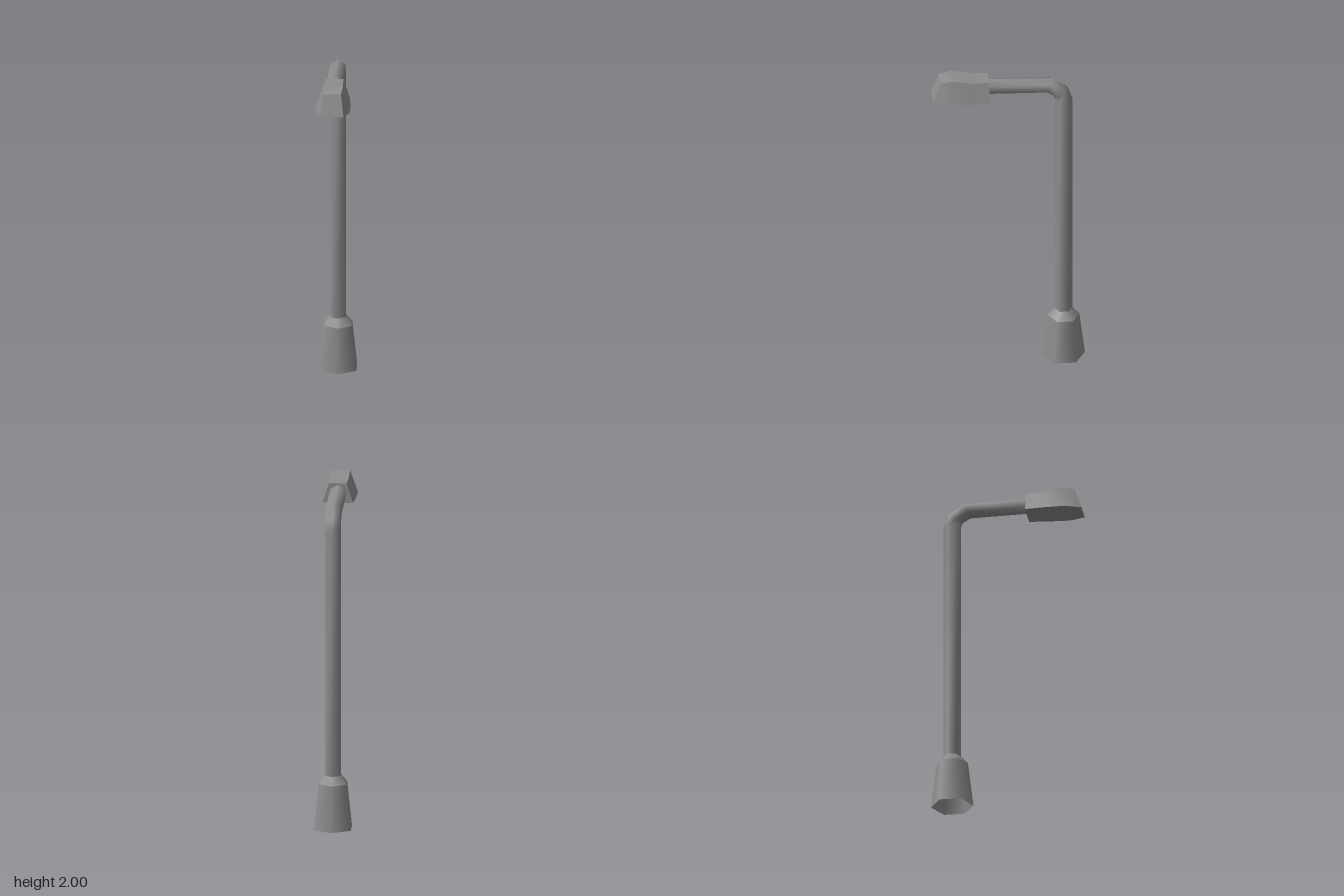
import * as THREE from 'three';
import { toCreasedNormals } from 'three/addons/utils/BufferGeometryUtils.js';

const HEX = 6;
const POLE_Z = -0.325;
const POLE_RADIUS = 0.052;

// Skins a list of equal-length rings, each counter-clockwise about the travel direction.
function loft(rings, capped) {
  const n = rings[0].length;
  const index = [];
  for (let r = 0; r < rings.length - 1; r++) {
    for (let i = 0; i < n; i++) {
      const a = r * n + i, b = r * n + (i + 1) % n;
      index.push(a, b, b + n, a, b + n, a + n);
    }
  }
  if (capped) {
    const last = (rings.length - 1) * n;
    for (let i = 1; i < n - 1; i++) {
      index.push(0, i + 1, i, last, last + i, last + i + 1);
    }
  }
  const geometry = new THREE.BufferGeometry();
  geometry.setAttribute('position', new THREE.Float32BufferAttribute(rings.flat(2), 3));
  geometry.setIndex(index);
  geometry.computeVertexNormals();
  return geometry;
}

function addMesh(parent, name, geometry, side = THREE.DoubleSide) {
  const material = new THREE.MeshStandardMaterial({ color: 0x8e8e8e, side });
  const mesh = new THREE.Mesh(geometry, material);
  mesh.name = name;
  parent.add(mesh);
  return mesh;
}

export function createModel() {
  const model = new THREE.Group();
  model.name = 'streetLamp';

  // Hollow tapered foot with a sloping collar
  const tiers = [
    ['base', 0, 0.275, 0.125, 0.093],
    ['baseCollar', 0.275, 0.322, 0.093, POLE_RADIUS],
  ];
  for (const [name, y0, y1, r0, r1] of tiers) {
    const tier = new THREE.CylinderGeometry(r1, r0, y1 - y0, HEX, 1, true);
    addMesh(model, name, tier).position.set(0, (y0 + y1) / 2, POLE_Z);
  }

  // Pole bending into the arm: [outer z, outer y, inner z, inner y] at each joint
  const joints = [
    [POLE_Z - POLE_RADIUS, 0.322, POLE_Z + POLE_RADIUS, 0.322],
    [POLE_Z - POLE_RADIUS, 1.805, POLE_Z + POLE_RADIUS, 1.805],
    [-0.348, 1.887, -0.264, 1.83],
    [-0.261, 1.952, -0.217, 1.859],
    [0.13, 1.965, 0.13, 1.868],
  ];
  const poleRings = joints.map(([oz, oy, iz, iy]) =>
    Array.from({ length: HEX }, (_, i) => {
      const angle = (i / HEX) * Math.PI * 2;
      const c = Math.cos(angle) / 2;
      return [
        -POLE_RADIUS * Math.sin(angle),
        (oy + iy) / 2 + (oy - iy) * c,
        (oz + iz) / 2 + (oz - iz) * c,
      ];
    }));
  addMesh(model, 'poleAndArm', loft(poleRings, false));

  // Lamp head, smooth lengthwise with sharp corners:
  // [bottom z, bottom half-width, top z, top y, top half-width]
  const stations = [
    [0.118, 0.09, 0.118, 1.975, 0.052],
    [0.24, 0.1, 0.22, 1.975, 0.056],
    [0.36, 0.104, 0.33, 2, 0.059],
    [0.45, 0.07, 0.407, 1.985, 0.052],
  ];
  const headRings = stations.map(([bz, bw, tz, ty, tw]) => [
    [-bw, 1.857, bz], [bw, 1.857, bz], [tw, ty, tz], [-tw, ty, tz],
  ]);
  addMesh(model, 'lampHead', toCreasedNormals(loft(headRings, true), 0.7), THREE.FrontSide);

  return model;
}
